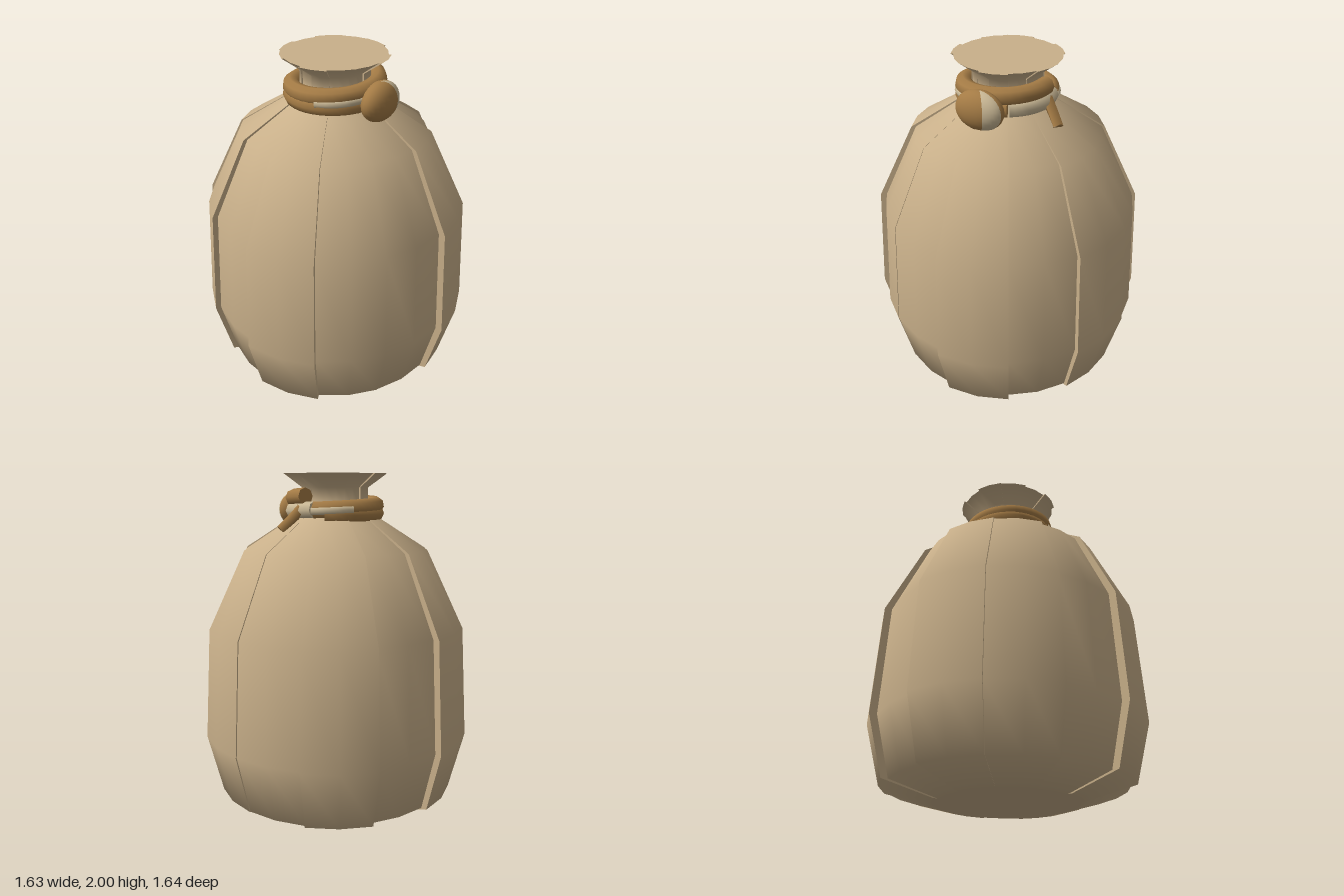
import * as THREE from 'three';

const rad = THREE.MathUtils.degToRad;
const mat = (name, color, side = THREE.FrontSide) => {
  const m = new THREE.MeshStandardMaterial({ color, side });
  m.name = name;
  return m;
};

export function createModel() {
  const cloth = mat('sackcloth', 0xc9b08a, THREE.DoubleSide);
  const brown = mat('brown rope', 0xa47b45, THREE.DoubleSide);
  const pale = mat('pale rope', 0xcab895, THREE.DoubleSide);

  const model = new THREE.Group();
  model.name = 'tiedSack';
  const add = (parent, name, geometry, material) => {
    const mesh = new THREE.Mesh(geometry, material);
    mesh.name = name;
    parent.add(mesh);
    return mesh;
  };

  // Sack: twelve pleats, each a slice of the same profile at its own radius
  const profile = [
    [0.43, 0], [0.72, 0.085], [0.81, 0.44], [0.772, 1.1], [0.553, 1.56],
    [0.27, 1.74], [0.2, 1.82], [0.2, 1.92], [0.31, 2],
  ];
  const pleats = [0.82, 0.78, 0.81, 0.803, 0.825, 0.78, 0.82, 0.805, 0.772, 0.82, 0.782, 0.779];
  const sack = new THREE.Group();
  sack.name = 'sack';
  model.add(sack);
  const scaled = (points, k) => points.map(([r, y]) => new THREE.Vector2(r * k, y));

  pleats.forEach((radius, i) => {
    const k = radius / 0.81;
    const start = rad(i * 30);
    const slice = (points) => new THREE.LatheGeometry(scaled(points, k), 2, start, rad(30));
    add(sack, 'pleat', slice(profile), cloth);
    add(sack, 'mouthCover', slice([[0.31, 2], [0, 2]]), cloth);
    add(sack, 'base', slice([[0, 0], [0.43, 0]]), cloth);

    // Step between this pleat and the previous one
    const previous = pleats[(i + 11) % 12] / 0.81;
    const outline = [...scaled(profile, Math.max(k, previous)),
      ...scaled(profile, Math.min(k, previous)).reverse()];
    const step = add(sack, 'pleatFold', new THREE.ShapeGeometry(new THREE.Shape(outline)), cloth);
    step.rotation.y = start - Math.PI / 2;
  });

  // Rope: a coil wound nearly twice around the neck, with closed ends
  const rope = new THREE.Group();
  rope.name = 'rope';
  model.add(rope);
  const addTube = (name, points, thickness, sides, material) => {
    const curve = new THREE.CatmullRomCurve3(points);
    add(rope, name, new THREE.TubeGeometry(curve, points.length * 2, thickness, sides), material);
    [0, 1].forEach((t) => {
      const end = add(rope, name + 'End', new THREE.CircleGeometry(thickness, sides), material);
      end.position.copy(curve.getPointAt(t));
      end.lookAt(end.position.clone().addScaledVector(curve.getTangentAt(t), t ? 1 : -1));
    });
  };
  const heights = [1.87, 1.85, 1.825, 1.81, 1.79, 1.78, 1.773, 1.77, 1.77];
  const addCoil = (name, from, to, material, thickness = 0.05, radius = 0.245, drop = 0) => {
    const count = Math.max(3, Math.round((from - to) / 20));
    const points = [];
    for (let i = 0; i <= count; i++) {
      const angle = from + ((to - from) * i) / count;
      const s = (90 - angle) / 90;
      const n = Math.min(Math.floor(s), heights.length - 2);
      const y = THREE.MathUtils.lerp(heights[n], heights[n + 1], s - n) - drop;
      points.push(new THREE.Vector3(radius * Math.sin(rad(angle)), y, radius * Math.cos(rad(angle))));
    }
    addTube(name, points, thickness, 8, material);
  };
  addCoil('upperCoil', 90, -255, brown);
  addCoil('paleCoil', -255, -330, pale);
  addCoil('lowerCoil', -330, -600, brown);
  addCoil('paleStrandLeft', -20, -75, pale, 0.025, 0.273, 0.03);
  addCoil('paleStrandRight', -205, -255, pale, 0.025, 0.274, 0.005);

  // Loose rope end hanging at the side
  addTube('ropeTail', [[0.26, 1.8, 0.02], [0.31, 1.74, 0.05], [0.362, 1.68, 0.085]]
    .map((p) => new THREE.Vector3(...p)), 0.036, 4, brown);

  // Knot: a flattened ball with a pale wedge on its left
  const knot = new THREE.Group();
  knot.name = 'knot';
  knot.position.set(0.005, 1.788, 0.31);
  knot.scale.set(0.145, 0.113, 0.082);
  model.add(knot);
  add(knot, 'knotBall', new THREE.SphereGeometry(1, 20, 14, rad(168), rad(307)), brown);
  add(knot, 'knotWedge', new THREE.SphereGeometry(1, 6, 14, rad(115), rad(53)), pale);

  return model;
}
